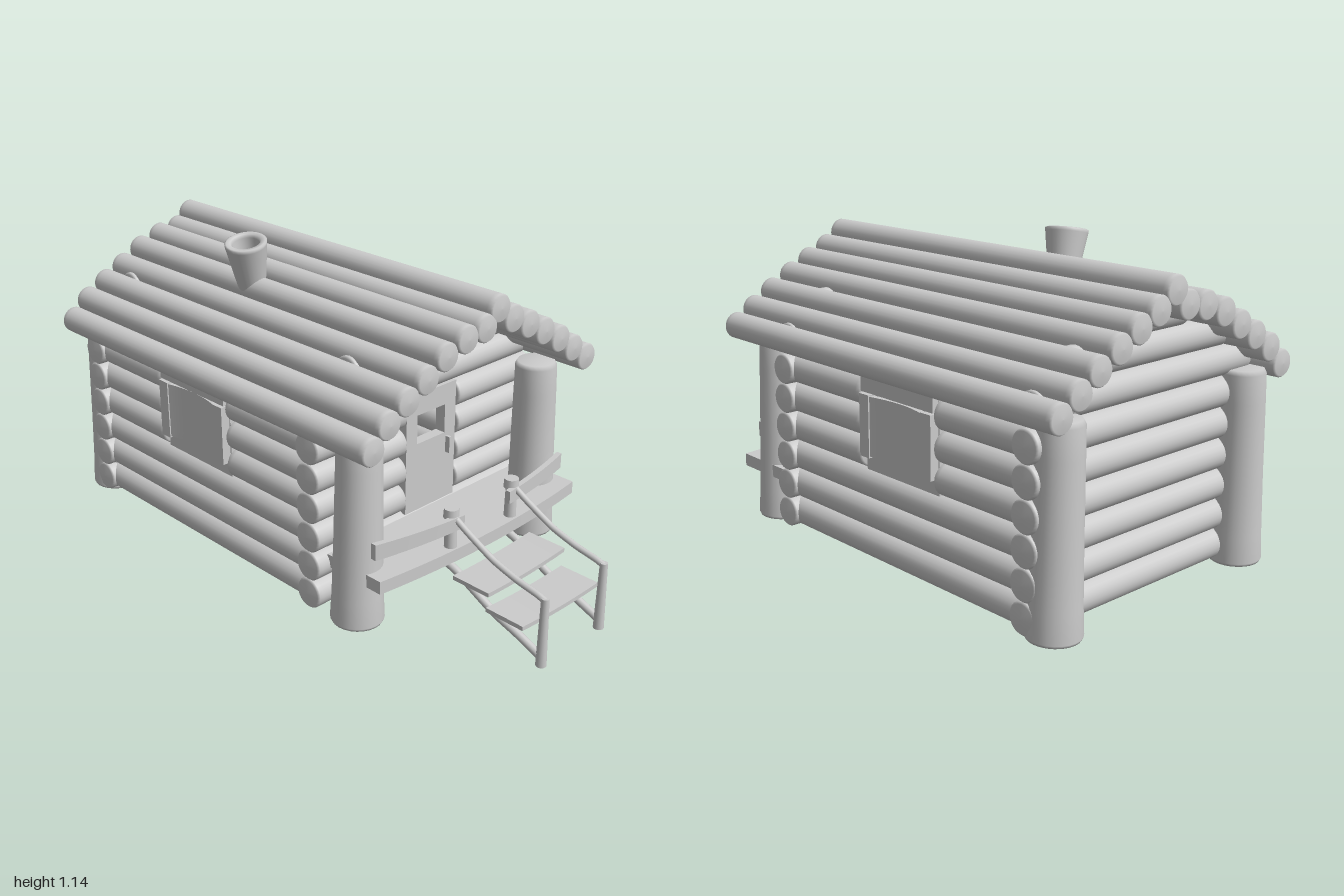
import * as THREE from 'three';

const mat = new THREE.MeshStandardMaterial({ color: 0xcccccc });
const matDouble = new THREE.MeshStandardMaterial({ color: 0xcccccc, side: THREE.DoubleSide });
const V2 = (x, y) => new THREE.Vector2(x, y);
const V3 = (x, y, z) => new THREE.Vector3(x, y, z);

function add(parent, name, geo, x = 0, y = 0, z = 0, material = mat) {
  const m = new THREE.Mesh(geo, material);
  m.name = name;
  m.position.set(x, y, z);
  parent.add(m);
  return m;
}

function group(parent, name) {
  const g = new THREE.Group();
  g.name = name;
  parent.add(g);
  return g;
}

const box = (parent, name, w, h, d, x, y, z) =>
  add(parent, name, new THREE.BoxGeometry(w, h, d), x, y, z);

// A round log with softly worn ends, running along x or z from a to b
function log(parent, name, axis, a, b, r, u, y) {
  const h = (b - a) / 2, mid = (a + b) / 2;
  const geo = new THREE.LatheGeometry([
    V2(0, -h), V2(r * 0.88, -h + 0.003), V2(r, -h + 0.01), V2(r, -h + 0.025),
    V2(r, h - 0.025), V2(r, h - 0.01), V2(r * 0.88, h - 0.003), V2(0, h),
  ], 24);
  if (axis === 'x') {
    geo.rotateZ(-Math.PI / 2);
    return add(parent, name, geo, mid, y, u);
  }
  geo.rotateX(Math.PI / 2);
  return add(parent, name, geo, u, y, mid);
}

function tube(parent, name, pts, r) {
  const curve = new THREE.CatmullRomCurve3(pts, false, 'catmullrom', 0.3);
  return add(parent, name, new THREE.TubeGeometry(curve, 32, r, 10), 0, 0, 0, matDouble);
}

const R = 0.053;
const ROWS = [0.122, 0.226, 0.33, 0.434, 0.538, 0.642];
const FRONT = 0.31, BACK = -0.86, SIDE = 0.458;

function buildWalls(root) {
  const walls = group(root, 'logWalls');
  ROWS.forEach((y, i) => {
    log(walls, 'backLog', 'x', -0.525, 0.525, R, BACK, y);
    // front rows split around the door
    if (i < 2) log(walls, 'frontLog', 'x', -0.525, 0.525, R, FRONT, y);
    else {
      log(walls, 'frontLog', 'x', -0.525, -0.112, R, FRONT, y);
      log(walls, 'frontLog', 'x', 0.13, 0.525, R, FRONT, y);
    }
    // side rows split around the windows
    for (const s of [-1, 1]) {
      if (i < 3) log(walls, 'sideLog', 'z', BACK, FRONT, R, s * SIDE, y);
      else {
        log(walls, 'sideLog', 'z', BACK, -0.46, R, s * SIDE, y);
        log(walls, 'sideLog', 'z', -0.11, FRONT, R, s * SIDE, y);
      }
    }
  });
  // gable logs, shorter towards the ridge
  for (const z of [FRONT, BACK]) {
    log(walls, 'gableLog', 'x', -0.47, 0.5, R, z, 0.747);
    log(walls, 'gableLog', 'x', -0.35, 0.365, R, z, 0.85);
    log(walls, 'gableLog', 'x', -0.14, 0.15, R, z, 0.945);
  }
}

function buildRoof(root) {
  const roof = group(root, 'roof');
  const spots = [
    [-0.516, 0.732], [-0.449, 0.796], [-0.368, 0.847], [-0.286, 0.893], [-0.201, 0.944],
    [-0.11, 0.977], [-0.023, 0.99], [0.038, 1.041], [0.11, 0.99], [0.192, 0.95],
    [0.274, 0.905], [0.359, 0.856], [0.437, 0.802], [0.513, 0.75],
  ];
  for (const [x, y] of spots) log(roof, 'roofLog', 'z', -1, 0.61, 0.047, x, y);

  // hollow, flared and leaning chimney
  const chimney = add(roof, 'chimney', new THREE.LatheGeometry([
    V2(0.04, 0), V2(0.048, 0.06), V2(0.073, 0.225), V2(0.074, 0.235), V2(0.068, 0.238),
    V2(0.053, 0.237), V2(0.048, 0.225), V2(0.034, 0.06), V2(0, 0.055),
  ], 24), -0.187, 0.89, -0.325, matDouble);
  chimney.rotation.set(0.1, 0, 0.21);
}

function buildPosts(root) {
  const geo = new THREE.LatheGeometry([
    V2(0, 0), V2(0.084, 0), V2(0.089, 0.01), V2(0.084, 0.1), V2(0.079, 0.3),
    V2(0.075, 0.55), V2(0.073, 0.645), V2(0.065, 0.66), V2(0, 0.66),
  ], 24);
  for (const z of [0.455, -0.91])
    for (const s of [-1, 1]) {
      const post = add(root, 'cornerPost', geo, s * 0.438, 0.06, z);
      post.rotation.z = s * 0.015;
    }
}

function buildDoor(root) {
  const door = group(root, 'door');
  const shape = new THREE.Shape([V2(-0.11, 0.27), V2(0.13, 0.27), V2(0.13, 0.7), V2(-0.11, 0.7)]);
  shape.holes.push(new THREE.Path([V2(-0.058, 0.52), V2(-0.058, 0.625), V2(0.077, 0.625), V2(0.077, 0.52)]));
  add(door, 'doorPanel', new THREE.ExtrudeGeometry(shape, { depth: 0.04, bevelEnabled: false }), 0, 0, 0.31);
  box(door, 'doorHandle', 0.011, 0.06, 0.022, 0.089, 0.475, 0.358);
}

function buildWindows(root) {
  for (const s of [-1, 1]) {
    const win = group(root, s > 0 ? 'leftWindow' : 'rightWindow');
    box(win, 'windowBoard', 0.04, 0.32, 0.355, s * 0.465, 0.54, -0.287);
    box(win, 'lintel', 0.03, 0.05, 0.35, s * 0.495, 0.675, -0.287);
    for (const z of [-0.137, -0.438]) box(win, 'jamb', 0.04, 0.21, 0.046, s * 0.498, 0.54, z);

    // shutter bowed inwards between the jambs
    const pane = new THREE.BoxGeometry(0.02, 0.2, 0.26, 1, 8, 8);
    const p = pane.attributes.position;
    for (let i = 0; i < p.count; i++) {
      const t = p.getZ(i) / 0.13;
      p.setX(i, p.getX(i) - s * 0.018 * (1 - t * t));
    }
    pane.computeVertexNormals();
    add(win, 'shutter', pane, s * 0.504, 0.54, -0.287);
  }
}

function buildPorch(root) {
  const porch = group(root, 'porch');
  // deck with a bowed front edge
  const s = new THREE.Shape();
  s.moveTo(-0.47, -0.35);
  s.lineTo(-0.47, -0.59);
  s.quadraticCurveTo(0.02, -0.655, 0.507, -0.59);
  s.lineTo(0.507, -0.35);
  const deck = new THREE.ExtrudeGeometry(s, { depth: 0.045, bevelEnabled: false, curveSegments: 12 });
  deck.rotateX(-Math.PI / 2);
  add(porch, 'deck', deck, 0, 0.221, 0);

  // plank rails bent back around the corner posts
  for (const [x, side] of [[-0.292, -1], [0.285, 1]]) {
    const rail = new THREE.BoxGeometry(0.35, 0.05, 0.02, 10, 1, 1);
    const p = rail.attributes.position;
    for (let i = 0; i < p.count; i++) {
      const t = (p.getX(i) * side) / 0.175;
      p.setZ(i, p.getZ(i) - 0.028 * t - 0.008 * t * t);
      p.setY(i, p.getY(i) * (1 + 0.1 * t));
    }
    rail.computeVertexNormals();
    add(porch, 'railPlank', rail, x, 0.358, 0.592);
  }

  const stairs = group(root, 'stairs');
  for (const x of [-0.147, 0.155]) {
    add(stairs, 'newelPost', new THREE.CylinderGeometry(0.019, 0.022, 0.13, 14), x, 0.32, 0.59);
    add(stairs, 'newelCap', new THREE.CylinderGeometry(0.025, 0.027, 0.032, 14), x, 0.39, 0.59);
    // handrail sloping down from the newel
    tube(stairs, 'handrail', [
      V3(x, 0.385, 0.59), V3(x, 0.345, 0.66), V3(x, 0.29, 0.77), V3(x, 0.26, 0.87),
      V3(x, 0.245, 0.95), V3(x, 0.235, 0.982),
    ], 0.011);
    add(stairs, 'footPost', new THREE.CylinderGeometry(0.013, 0.018, 0.245, 12), x, 0.1225, 0.982);
    // stringer under the treads
    tube(stairs, 'stringer', [
      V3(x, 0.03, 0.982), V3(x, 0.07, 0.88), V3(x, 0.1, 0.79), V3(x, 0.14, 0.71),
      V3(x, 0.185, 0.62), V3(x, 0.215, 0.53),
    ], 0.014);
  }
  // two slightly sagging treads
  for (const [y, z, tilt] of [[0.188, 0.718, 0.02], [0.124, 0.86, -0.02]]) {
    const tread = new THREE.BoxGeometry(0.39, 0.015, 0.15, 10, 1, 1);
    const p = tread.attributes.position;
    for (let i = 0; i < p.count; i++) {
      const t = p.getX(i) / 0.195;
      p.setY(i, p.getY(i) + 0.006 * (t * t - 0.5));
    }
    tread.computeVertexNormals();
    add(stairs, 'tread', tread, 0.005, y, z).rotation.z = tilt;
  }
}

export function createModel() {
  const root = new THREE.Group();
  root.name = 'logCabin';
  buildWalls(root);
  buildRoof(root);
  buildPosts(root);
  buildDoor(root);
  buildWindows(root);
  buildPorch(root);
  return root;
}
